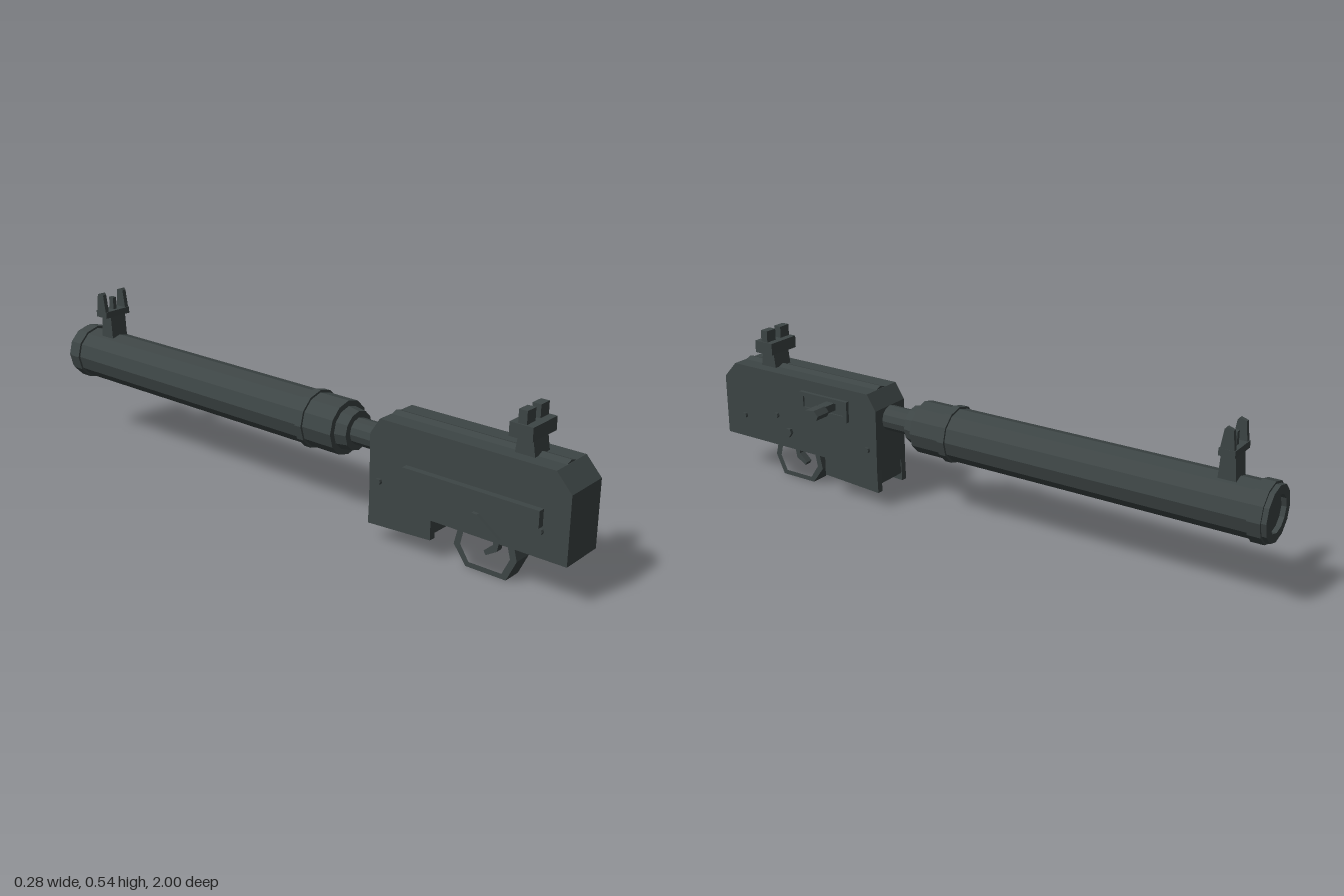
import * as THREE from 'three';

const CX = -0.046; // the model's symmetry plane
const AXIS_Y = 0.298; // height of the bore

export function createModel() {
  const group = new THREE.Group();
  const gunmetal = new THREE.MeshStandardMaterial({ color: 0x3d4545, flatShading: true });
  gunmetal.name = 'gunmetal';

  const add = (name, geo) => {
    const mesh = new THREE.Mesh(geo, gunmetal);
    mesh.name = name;
    group.add(mesh);
    return mesh;
  };
  // box given by its extents
  const box = (name, x0, x1, y0, y1, z0, z1) =>
    add(name, new THREE.BoxGeometry(x1 - x0, y1 - y0, z1 - z0)
      .translate((x0 + x1) / 2, (y0 + y1) / 2, (z0 + z1) / 2));
  // side profile of [z, y] points, extruded from x0 to x1
  const profile = (name, pts, x0, x1, hole) => {
    const shape = new THREE.Shape(pts.map(p => new THREE.Vector2(...p)));
    if (hole) shape.holes.push(new THREE.Path(hole.map(p => new THREE.Vector2(...p))));
    return add(name, new THREE.ExtrudeGeometry(shape, { depth: x1 - x0, bevelEnabled: false })
      .rotateY(-Math.PI / 2).translate(x1, 0, 0));
  };
  // [radius, z] points turned around the bore, in rising z
  const turned = (name, pts) =>
    add(name, new THREE.LatheGeometry(pts.map(p => new THREE.Vector2(...p)), 12)
      .rotateX(Math.PI / 2).translate(CX, AXIS_Y, 0));

  // receiver with chamfered ends and a low ridge on top
  profile('receiver', [[1, 0.13], [1, 0.337], [0.95, 0.392], [0.372, 0.392], [0.338, 0.34], [0.338, 0.13]], -0.122, 0.03);
  const ridge = new THREE.Shape([[-0.03, 0.385], [0.03, 0.385], [0.022, 0.392], [0, 0.4], [-0.022, 0.392]]
    .map(p => new THREE.Vector2(...p)));
  add('receiverRidge', new THREE.ExtrudeGeometry(ridge, { depth: 0.575, bevelEnabled: false }).translate(CX, 0, 0.374));

  // barrel and long sleeve
  turned('barrel', [[0.042, 0.2], [0.042, 0.345]]);
  turned('barrelSleeve', [
    [0, -0.985], [0.058, -0.985], [0.058, -1], [0.086, -1], [0.086, 0.195],
    [0.068, 0.195], [0.062, 0.235], [0.042, 0.235]]);
  for (const [name, z0, z1] of [['muzzleBand', -0.985, -0.945], ['rearBand', 0.06, 0.085]]) {
    turned(name, [[0.085, z0], [0.093, z0], [0.093, z1], [0.085, z1]]);
  }

  // magazine well with two side rails
  box('magazineWell', -0.12, 0.028, 0.08, 0.135, 0.34, 0.555);
  for (const [x0, x1] of [[-0.122, -0.1], [0.008, 0.03]]) {
    profile('magazineRail', [[0.56, 0.13], [0.338, 0.13], [0.335, 0.055], [0.56, 0.068]], x0, x1);
  }

  // trigger guard and trigger
  profile('triggerGuard',
    [[0.805, 0.135], [0.822, 0.07], [0.79, 0.002], [0.655, 0.002], [0.612, 0.06], [0.63, 0.135]],
    -0.078, -0.015,
    [[0.785, 0.128], [0.8, 0.07], [0.775, 0.018], [0.665, 0.018], [0.634, 0.065], [0.648, 0.128]]);
  profile('trigger',
    [[0.757, 0.135], [0.735, 0.135], [0.73, 0.085], [0.7, 0.058], [0.708, 0.046], [0.744, 0.068]],
    CX - 0.012, CX + 0.012);

  // bolt slot frame and handle on the left side
  profile('boltSlot', [[0.65, 0.28], [0.65, 0.352], [0.45, 0.352], [0.45, 0.28]], 0.028, 0.042,
    [[0.635, 0.3], [0.635, 0.338], [0.465, 0.338], [0.465, 0.3]]);
  box('bolt', 0.028, 0.036, 0.298, 0.34, 0.464, 0.637);
  box('boltHandle', 0.03, 0.09, 0.314, 0.34, 0.5, 0.533);
  profile('boltKnob', [[0.55, 0.312], [0.54, 0.337], [0.503, 0.342], [0.488, 0.325], [0.494, 0.31]], 0.085, 0.141);

  // long cover plate on the right side
  box('sidePlate', -0.143, -0.12, 0.225, 0.276, 0.47, 0.92);

  // selector levers and pins on both sides
  for (const [x0, x1] of [[-0.134, -0.12], [0.028, 0.041]]) {
    profile('selectorLever',
      [[0.795, 0.147], [0.785, 0.14], [0.71, 0.172], [0.698, 0.188], [0.703, 0.203], [0.72, 0.202]], x0, x1);
    for (const [z, y] of [[0.915, 0.21], [0.767, 0.24], [0.375, 0.2]]) {
      add('pin', new THREE.CylinderGeometry(0.01, 0.01, x1 - x0 - 0.002, 8)
        .rotateZ(Math.PI / 2).translate((x0 + x1) / 2, y, z));
    }
  }

  // rear sight
  profile('rearSightStem', [[0.862, 0.385], [0.852, 0.445], [0.805, 0.445], [0.797, 0.385]], -0.083, -0.009);
  box('rearSightBase', -0.106, 0.014, 0.443, 0.484, 0.79, 0.864);
  for (const x of [-0.1, -0.033]) box('rearSightBlade', x, x + 0.042, 0.48, 0.523, 0.813, 0.84);

  // front sight with a post between two tapered ears
  profile('frontSightStem', [[-0.827, 0.36], [-0.833, 0.455], [-0.876, 0.455], [-0.885, 0.36]], -0.078, -0.014);
  box('frontSightBase', -0.098, 0.005, 0.45, 0.472, -0.882, -0.832);
  box('frontSightPost', -0.053, -0.039, 0.465, 0.513, -0.866, -0.846);
  for (const x of [-0.097, -0.01]) {
    profile('frontSightEar', [[-0.834, 0.46], [-0.845, 0.53], [-0.851, 0.537], [-0.872, 0.53], [-0.88, 0.46]], x, x + 0.014);
  }
  return group;
}
